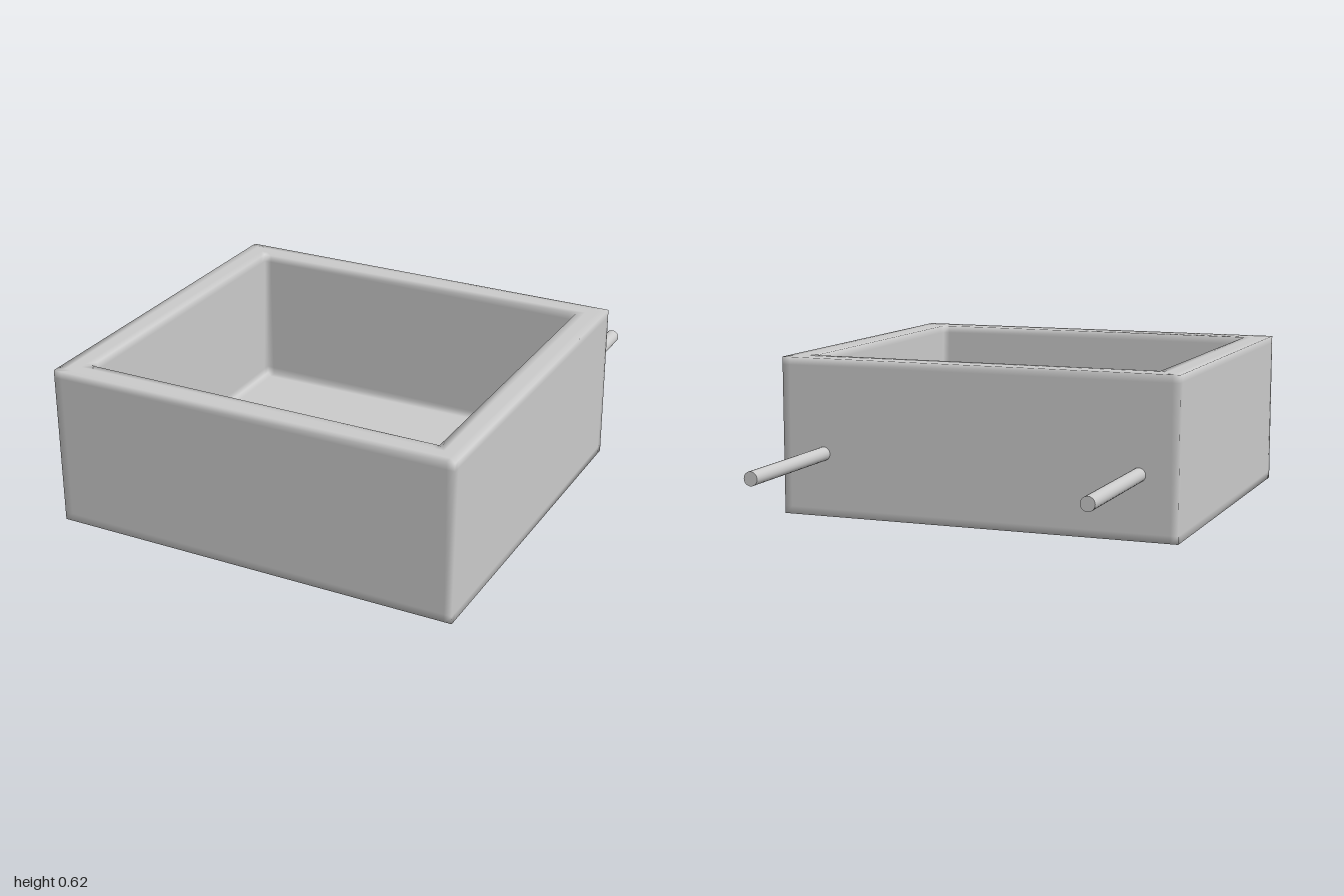
import * as THREE from 'three';

const material = new THREE.MeshStandardMaterial({ color: 0xcccccc });
const SOFT = 0.03; // distance of the support loops that soften the shading of edges

// Rectangular loop inset by d, with support points beside every corner
function loop(d, y) {
  const x = 0.795 - d, z0 = -0.43 + d * 0.9, z1 = 1 - d * 0.95;
  const corners = [[-x, z1], [x, z1], [x, z0], [-x, z0]];
  const points = [];
  corners.forEach(([ax, az], i) => {
    const [bx, bz] = corners[(i + 1) % 4];
    const length = Math.hypot(bx - ax, bz - az);
    for (const t of [0, SOFT / length, 1 - SOFT / length]) {
      points.push([ax + (bx - ax) * t, y, az + (bz - az) * t]);
    }
  });
  return points;
}

// Open tray: loops run from the underside, up the outside, over the rim, down to the floor
function trayGeometry() {
  const height = 0.615, wall = 0.1, floor = 0.07;
  const loops = [
    [SOFT, 0], [0, 0], [0, SOFT], [0, height - SOFT], [0, height],
    [SOFT, height], [wall - SOFT, height], [wall, height],
    [wall, height - SOFT], [wall, floor + SOFT], [wall, floor], [wall + SOFT, floor],
  ].map(([d, y]) => loop(d, y));
  const n = loops[0].length;
  const positions = loops.flat(2);
  const index = [];
  for (let r = 0; r < loops.length - 1; r++) {
    for (let i = 0; i < n; i++) {
      const j = (i + 1) % n;
      const a = r * n + i, b = r * n + j;
      index.push(a, b, b + n, a, b + n, a + n);
    }
  }
  // Underside and inner floor
  const bottom = loops.length * n, last = (loops.length - 1) * n;
  positions.push(0, 0, 0.285, 0, floor, 0.285);
  for (let i = 0; i < n; i++) {
    const j = (i + 1) % n;
    index.push(bottom, j, i, bottom + 1, last + i, last + j);
  }
  const geometry = new THREE.BufferGeometry();
  geometry.setAttribute('position', new THREE.Float32BufferAttribute(positions, 3));
  geometry.setIndex(index);
  geometry.computeVertexNormals();
  return geometry;
}

export function createModel() {
  const group = new THREE.Group();

  const tray = new THREE.Mesh(trayGeometry(), material);
  tray.name = 'tray';
  group.add(tray);

  // Two mounting rods leaving the back wall
  for (const [name, x] of [['rightRod', -0.643], ['leftRod', 0.624]]) {
    const rod = new THREE.Mesh(new THREE.CylinderGeometry(0.027, 0.027, 0.58, 24), material);
    rod.name = name;
    rod.rotation.x = Math.PI / 2;
    rod.position.set(x, 0.245, -0.71);
    group.add(rod);
  }
  return group;
}
